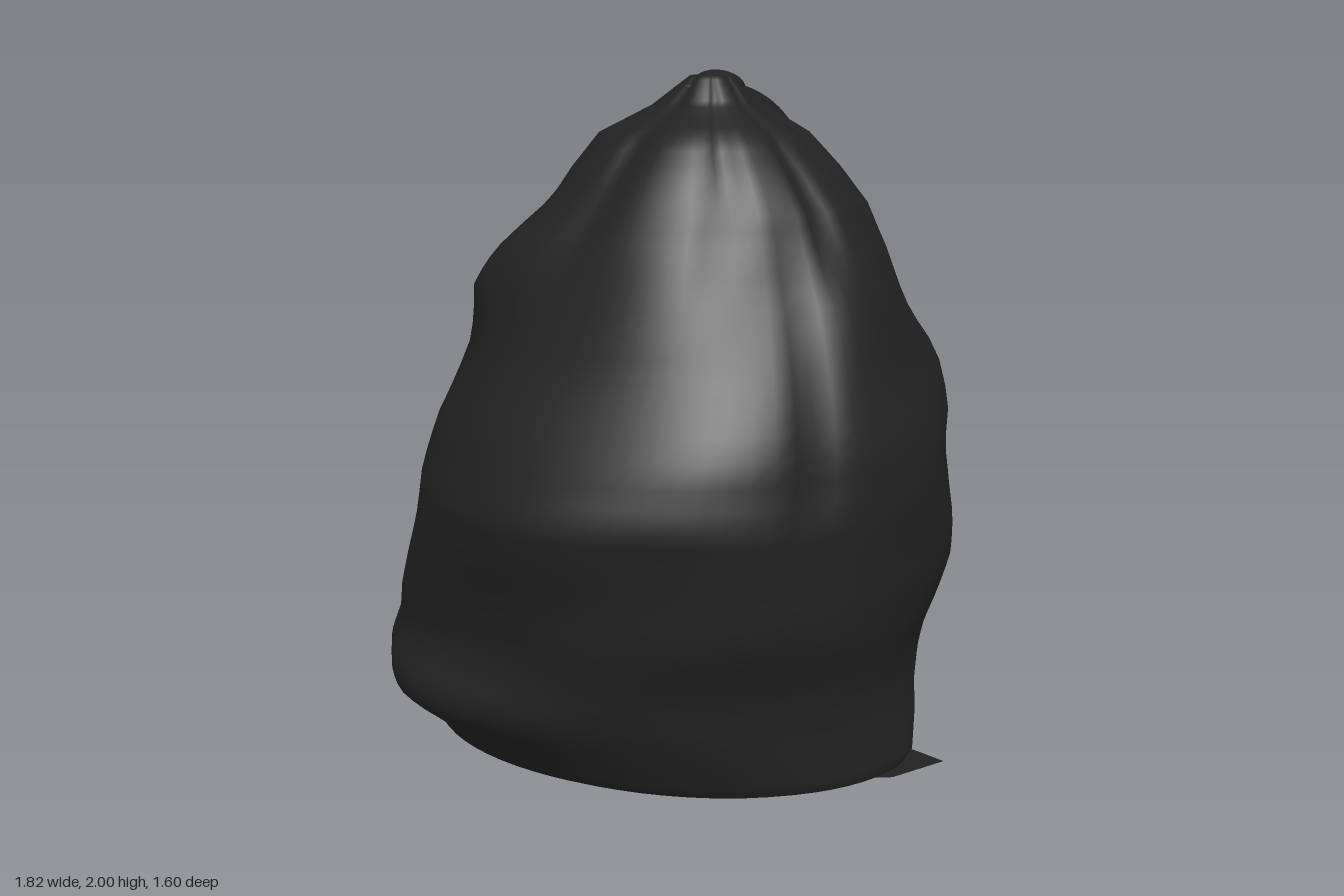
import * as THREE from 'three';

// Body outline by height: y, right x, left x, back z, front z
const PROFILE = [
  [0.01, 0, 0, 0, 0],
  [0.0, -0.70, 0.73, -0.42, 0.55],
  [0.02, -0.76, 0.78, -0.48, 0.59],
  [0.10, -0.81, 0.77, -0.61, 0.63],
  [0.19, -0.90, 0.76, -0.66, 0.67],
  [0.28, -0.92, 0.76, -0.73, 0.70],
  [0.36, -0.89, 0.77, -0.78, 0.72],
  [0.46, -0.87, 0.80, -0.78, 0.74],
  [0.58, -0.83, 0.83, -0.81, 0.76],
  [0.70, -0.78, 0.84, -0.80, 0.79],
  [0.82, -0.74, 0.845, -0.79, 0.81],
  [1.00, -0.69, 0.83, -0.77, 0.74],
  [1.20, -0.61, 0.755, -0.73, 0.62],
  [1.38, -0.565, 0.70, -0.61, 0.54],
  [1.50, -0.46, 0.65, -0.585, 0.49],
  [1.62, -0.345, 0.585, -0.555, 0.43],
  [1.72, -0.28, 0.50, -0.47, 0.37],
  [1.82, -0.20, 0.40, -0.37, 0.29],
  [1.90, -0.04, 0.27, -0.22, 0.15],
  [1.95, 0.03, 0.23, -0.13, 0.11],
  [1.985, 0.08, 0.20, -0.08, 0.08],
  [1.99, 0.135, 0.135, 0.005, 0.005],
];
// Bulges and hollows: amount, angle, angular width, height, height spread
const LUMPS = [
  [0.065, -0.75, 0.4, 0.75, 0.6],   // full back left corner
  [-0.03, -0.75, 0.4, 0.85, 0.14],
  [0.035, -0.75, 0.4, 1.14, 0.12],
  [-0.05, -0.75, 0.4, 1.5, 0.2],
  [-0.05, -2.45, 0.4, 0.6, 1.2],    // flatter back right side with a swell over a waist
  [0.09, -2.4, 0.4, 1.06, 0.24],
  [-0.08, -2.4, 0.4, 0.53, 0.15],
  [0.11, 2.4, 0.45, 1.5, 0.18],     // raised front right shoulder
  [0.13, 2.0, 0.45, 0.21, 0.11],    // slumped fold at the base
  [-0.07, 0.78, 0.4, 1.5, 0.22],    // front left side
  [0.05, 0.78, 0.4, 0.48, 0.16],
  [-0.04, 0.6, 0.07, 1.2, 0.5],     // long crease on the left side
];
const SEG = 72, SUB = 3;
const bump = (d, w) => Math.exp(-(d * d) / (w * w));
const angleGap = (a, b) => Math.atan2(Math.sin(a - b), Math.cos(a - b));

// Radius factor: lumps, soft dents and pleats drawn towards the neck
function wrinkle(a, y) {
  let k = 1;
  for (const [amount, angle, w, h, spread] of LUMPS) {
    k += amount * bump(angleGap(a, angle), w) * bump(y - h, spread);
  }
  const mid = THREE.MathUtils.smoothstep(y, 0.05, 0.4) * (1 - THREE.MathUtils.smoothstep(y, 1.5, 1.9));
  k += mid * (0.007 * Math.sin(3 * a + 5 * y) + 0.006 * Math.sin(7 * a - 6.5 * y + 1)
    + 0.005 * Math.sin(5 * a + 13 * y + 2) - 0.015);
  const top = THREE.MathUtils.smoothstep(y, 1.3, 1.85);
  const pleat = Math.pow(1 - Math.abs(Math.sin(4.5 * a + 0.5 * Math.sin(2 * a) + 0.8 * y)), 2);
  return k - 0.1 * top * pleat;
}

// Closed skin from rings of points
function skin(rings) {
  const n = rings[0].length, idx = [];
  for (let r = 0; r < rings.length - 1; r++) {
    for (let i = 0; i < n; i++) {
      const p = r * n + i, q = r * n + (i + 1) % n;
      idx.push(p, p + n, q, q, p + n, q + n);
    }
  }
  const g = new THREE.BufferGeometry();
  g.setAttribute('position', new THREE.Float32BufferAttribute(rings.flat(2), 3));
  g.setIndex(idx);
  g.computeVertexNormals();
  return g;
}

function bodyGeometry() {
  const rings = [];
  for (let r = 0; r < PROFILE.length; r++) {
    const next = PROFILE[Math.min(r + 1, PROFILE.length - 1)];
    const steps = r < PROFILE.length - 1 ? SUB : 1;
    for (let s = 0; s < steps; s++) {
      const [y, x0, x1, z0, z1] = PROFILE[r].map((v, i) => THREE.MathUtils.lerp(v, next[i], s / steps));
      // the centre line leans over to the neck
      const t = THREE.MathUtils.smoothstep(y, 0.3, 1.95);
      const cx = 0.135 * t, cz = 0.005 * t;
      rings.push(Array.from({ length: SEG }, (_, i) => {
        const a = i / SEG * Math.PI * 2, c = Math.cos(a), d = Math.sin(a), k = wrinkle(a, y);
        return [cx + c * k * (c > 0 ? x1 - cx : cx - x0), y, cz + d * k * (d > 0 ? z1 - cz : cz - z0)];
      }));
    }
  }
  return skin(rings);
}

// Flattened lobe that droops along its length and widens to the back
function lobeGeometry(w, h, l, droop) {
  const g = new THREE.SphereGeometry(1, 24, 16);
  const p = g.attributes.position;
  for (let i = 0; i < p.count; i++) {
    const x = p.getX(i), y = p.getY(i), z = p.getZ(i);
    const width = w * (1 - 0.3 * z);
    p.setXYZ(i, x * width, y * h - droop * z * z, z * l);
  }
  g.computeVertexNormals();
  return g;
}

// Thin loose corner of film lying at the base
function flapGeometry(side, tip, z, y) {
  const root = side * 0.68;
  const outline = [[root, 0.015, z - 0.16], [side * 0.80, 0.02, z - 0.11], [side * tip, y, z],
    [side * 0.79, 0.015, z + 0.09], [root, 0.01, z + 0.14]];
  const g = new THREE.BufferGeometry();
  g.setAttribute('position', new THREE.Float32BufferAttribute(outline.flat(), 3));
  g.setIndex(side > 0 ? [0, 2, 1, 0, 3, 2, 0, 4, 3] : [0, 1, 2, 0, 2, 3, 0, 3, 4]);
  g.computeVertexNormals();
  return g;
}

export function createModel() {
  const group = new THREE.Group();
  const film = new THREE.MeshStandardMaterial({ color: 0x222222 });
  film.name = 'black film';
  film.side = THREE.DoubleSide;
  const add = (name, geometry, pos = [0, 0, 0], rot = [0, 0, 0]) => {
    const m = new THREE.Mesh(geometry, film);
    m.name = name;
    m.position.set(...pos);
    m.rotation.set(...rot);
    group.add(m);
  };

  add('bagBody', bodyGeometry());
  // folded tail behind the tied neck
  add('neckTail', lobeGeometry(0.12, 0.06, 0.31, 0.05), [0.08, 1.875, -0.2], [-0.42, 0.08, 0.1]);
  add('neckTailFold', lobeGeometry(0.055, 0.06, 0.27, 0.05), [0.19, 1.875, -0.16], [-0.4, -0.2, -0.15]);
  add('neckKnot', lobeGeometry(0.075, 0.05, 0.1, 0.02), [0.14, 1.95, -0.01], [0.1, 0, 0]);
  // loose film corners at the base
  add('leftBaseFlap', flapGeometry(1, 0.91, 0.03, 0.055));
  add('rightBaseFlap', flapGeometry(-1, 0.84, -0.06, 0.05));
  return group;
}
